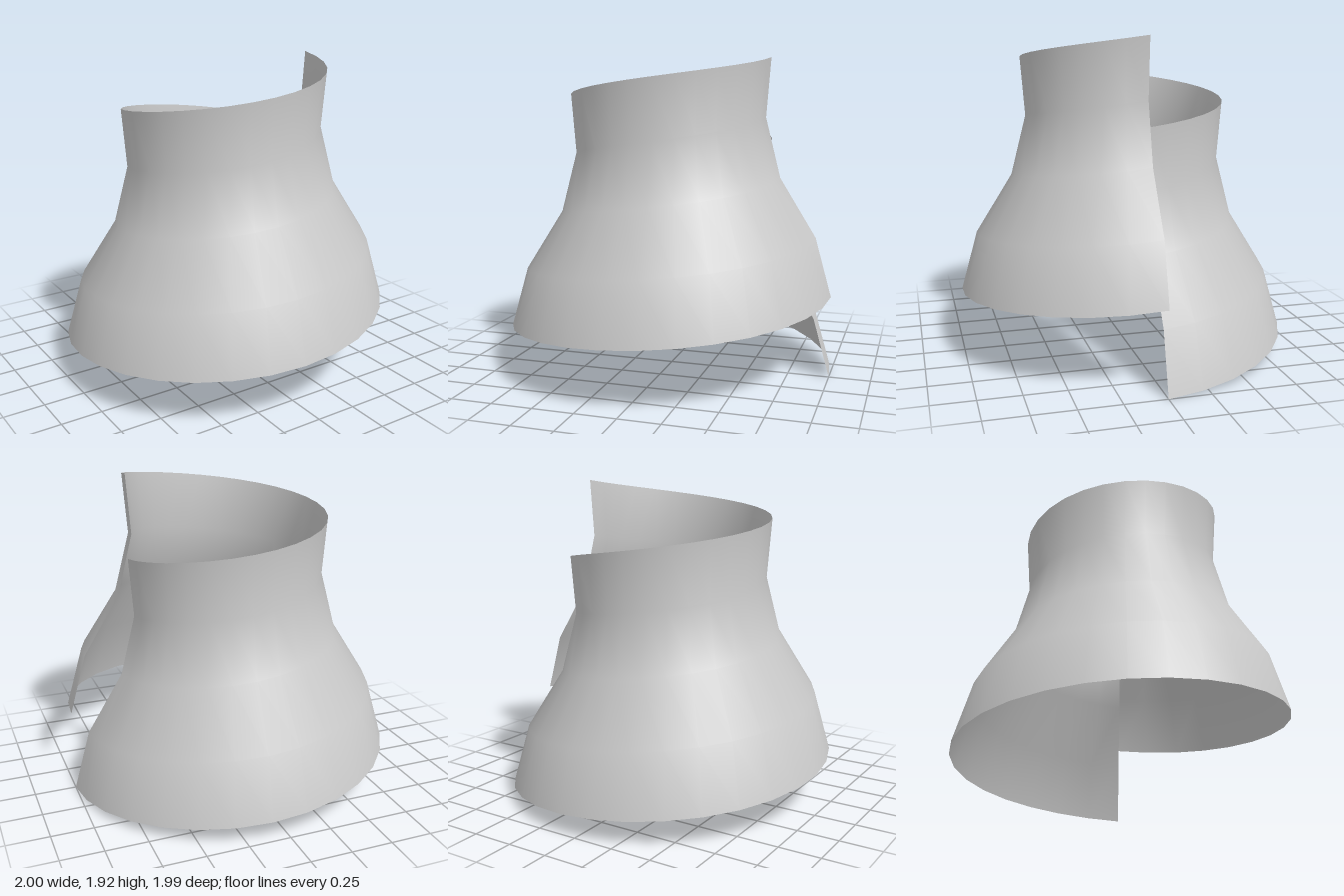
import * as THREE from 'three';

// Radius and height of the wall, bottom to top
const PROFILE = [[1, 0], [0.9, 0.357], [0.68, 0.71], [0.588, 1.07], [0.615, 1.424]];
const SEGMENTS = 30;
const RISE = 0.5; // height gained over one full turn

export function createModel() {
  const group = new THREE.Group();
  group.name = 'spiralCollar';

  // One turn of the profile, starting at +x and passing the back first
  const points = PROFILE.map(([r, y]) => new THREE.Vector2(r, y));
  const geometry = new THREE.LatheGeometry(points, SEGMENTS, Math.PI / 2, Math.PI * 2);

  // Lift each column in proportion to its turn, so the two ends part into a spiral
  const { position, uv } = geometry.attributes;
  for (let i = 0; i < position.count; i++) {
    position.setY(i, position.getY(i) + RISE * uv.getX(i));
  }
  geometry.computeVertexNormals();

  const material = new THREE.MeshStandardMaterial({ color: 0xcccccc, side: THREE.DoubleSide });
  const wall = new THREE.Mesh(geometry, material);
  wall.name = 'spiralWall';
  group.add(wall);
  return group;
}
